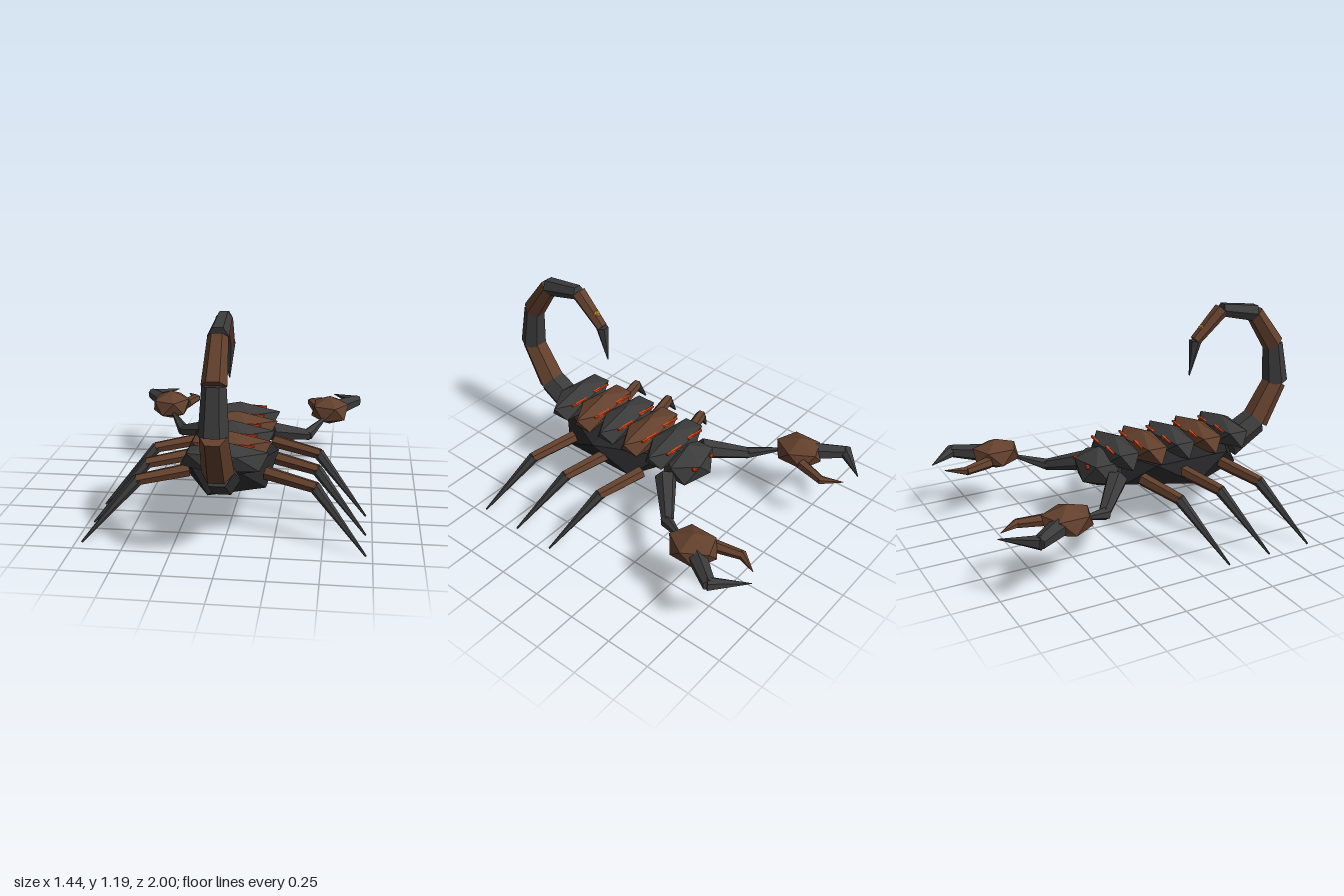
import * as THREE from 'three';

const paint = (color) => new THREE.MeshStandardMaterial({ color, flatShading: true });
const dark = paint(0x3b3b3b), black = paint(0x252527), brown = paint(0x63402d);
const red = paint(0xe04412), amber = paint(0xc48a22);
const V = (p) => new THREE.Vector3(...p);

export function createModel() {
  const model = new THREE.Group();

  const add = (name, geometry, material, parent = model) => {
    const mesh = new THREE.Mesh(geometry, material);
    mesh.name = name;
    parent.add(mesh);
    return mesh;
  };

  // Stretched icosahedron with one corner pointing straight up
  const lump = (name, [x, y, z], [rx, ry, rz], material, parent) => {
    const g = new THREE.IcosahedronGeometry(1, 0);
    g.rotateZ(-Math.atan2(1, (1 + Math.sqrt(5)) / 2)).scale(rx, ry, rz);
    return add(name, g, material, parent).position.set(x, y, z);
  };

  // Six-sided tapered limb from a to b, with corners to the sides
  const limb = (name, a, b, ra, rb, material, parent) => {
    const from = V(a), to = V(b), dir = to.clone().sub(from);
    const g = new THREE.CylinderGeometry(rb, ra, dir.length(), 6).rotateY(Math.PI / 6 * 3);
    const mesh = add(name, g, material, parent);
    mesh.position.copy(from).add(to).multiplyScalar(0.5);
    mesh.quaternion.setFromUnitVectors(new THREE.Vector3(0, 1, 0), dir.normalize());
  };

  // Belly and head
  lump('belly', [0, 0.335, 0.26], [0.28, 0.145, 0.425], black);
  lump('head', [0, 0.375, -0.22], [0.175, 0.115, 0.14], dark);

  // Back plates with glowing slits
  for (let i = 0; i < 5; i++) {
    const z = -0.12 + i * 0.173;
    lump('backPlate', [0, 0.45, z], [0.252, 0.09, 0.107], i % 2 ? brown : dark);
    for (const s of [1, -1]) {
      const slit = add('plateSlit', new THREE.BoxGeometry(0.11, 0.01, 0.012), red);
      slit.position.set(s * 0.09, 0.495, z - 0.073);
      slit.rotation.y = -0.12;
    }
  }

  // Tail: each entry is z, y, start radius, end radius
  const tail = [
    [0.61, 0.355, 0.088, 0.08], [0.805, 0.465, 0.08, 0.068], [0.937, 0.69, 0.073, 0.058],
    [0.908, 0.922, 0.062, 0.05], [0.77, 1.12, 0.052, 0.04], [0.55, 1.162, 0.043, 0.032],
    [0.385, 1.005, 0.035, 0.003], [0.35, 0.81],
  ];
  for (let i = 0; i < tail.length - 1; i++) {
    const [z, y, ra, rb] = tail[i], [z2, y2] = tail[i + 1];
    limb(i === 6 ? 'stinger' : 'tailSegment', [0, y, z], [0, y2, z2], ra, rb, i % 2 ? brown : dark);
  }
  lump('venomSpot', [0, 1.072, 0.425], [0.025, 0.022, 0.02], amber);

  for (const s of [1, -1]) {
    const side = new THREE.Group();
    side.name = s > 0 ? 'leftLimbs' : 'rightLimbs';
    model.add(side);
    const m = ([x, y, z]) => [s * x, y, z];

    lump('eye', m([0.076, 0.418, -0.322]), [0.015, 0.015, 0.015], red, side);

    // Walking legs
    for (let i = 0; i < 3; i++) {
      const z = i * 0.25;
      limb('upperLeg', m([0.2, 0.338, z - 0.05]), m([0.46, 0.302, z + 0.035]), 0.037, 0.031, brown, side);
      limb('lowerLeg', m([0.45, 0.305, z + 0.03]), m([0.718, 0.008, z + 0.18]), 0.031, 0.005, dark, side);
    }

    // Pincer arm
    limb('upperArm', m([0.16, 0.35, -0.19]), m([0.375, 0.275, -0.375]), 0.06, 0.032, dark, side);
    limb('forearm', m([0.365, 0.275, -0.36]), m([0.455, 0.325, -0.52]), 0.036, 0.012, dark, side);
    lump('palm', m([0.49, 0.353, -0.63]), [0.125, 0.088, 0.148], brown, side);

    // Pincer fingers
    limb('outerFinger', m([0.535, 0.352, -0.69]), m([0.65, 0.352, -0.85]), 0.052, 0.036, dark, side);
    limb('outerFingerTip', m([0.65, 0.352, -0.835]), m([0.507, 0.345, -1.0]), 0.038, 0.002, dark, side);
    limb('innerFinger', m([0.41, 0.34, -0.7]), m([0.368, 0.333, -0.85]), 0.034, 0.025, brown, side);
    limb('innerFingerTip', m([0.365, 0.333, -0.84]), m([0.43, 0.333, -0.955]), 0.026, 0.002, brown, side);
  }

  return model;
}
